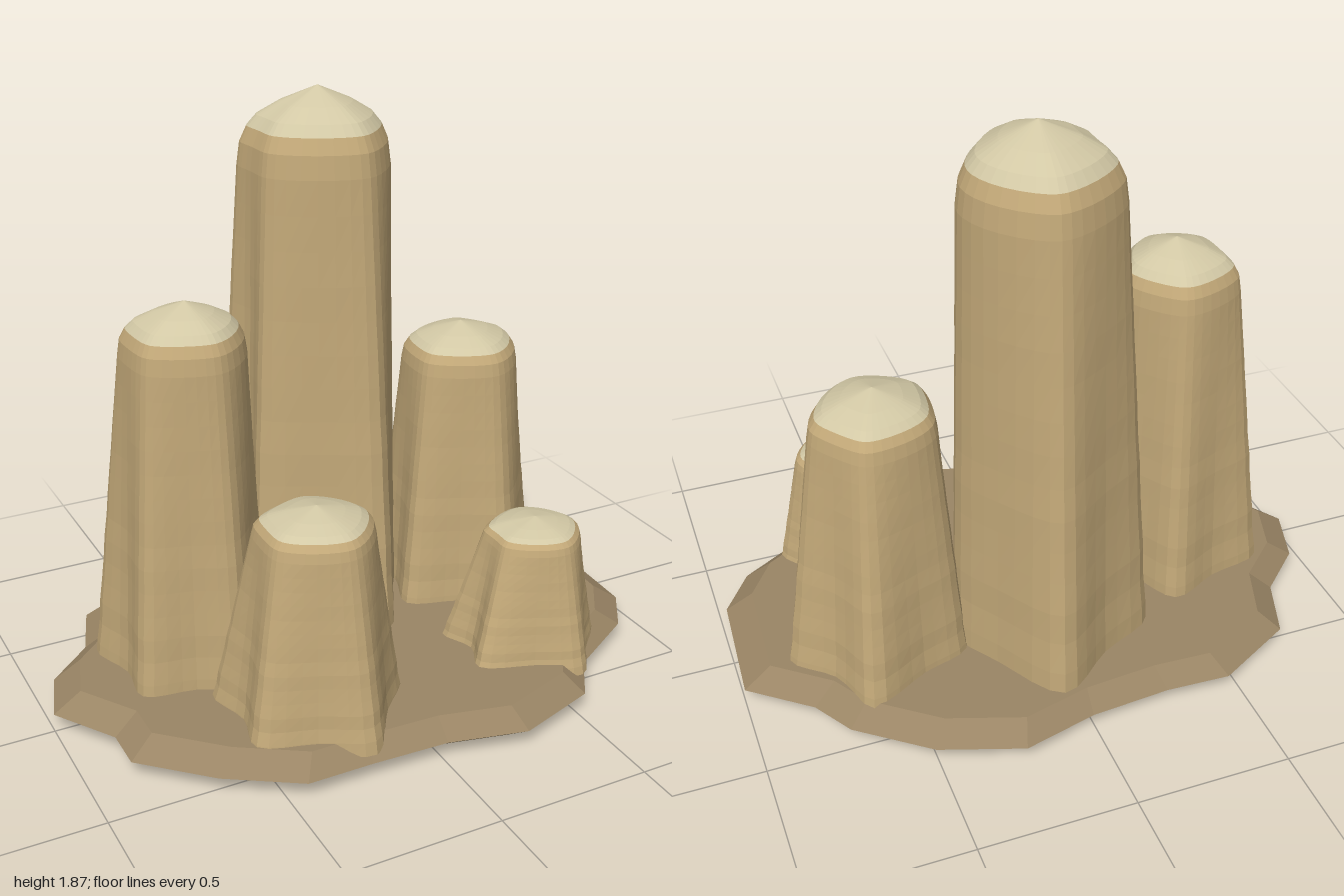
import * as THREE from 'three';

const mat = (color) => new THREE.MeshStandardMaterial({ color, flatShading: true });
const lerp = THREE.MathUtils.lerp;

// Skins a stack of closed rings, listed from the bottom up; collapsed rings close the ends
function loft(rings) {
  const n = rings[0].length, pos = [], index = [];
  rings.forEach((ring) => ring.forEach((p) => pos.push(p.x, p.y, p.z)));
  for (let i = 0; i < rings.length - 1; i++) {
    for (let j = 0; j < n; j++) {
      const k = (j + 1) % n, a = i * n + j, b = i * n + k, c = a + n, d = b + n;
      if (rings[i][j].distanceTo(rings[i][k]) > 1e-6) index.push(a, c, b);
      if (rings[i + 1][j].distanceTo(rings[i + 1][k]) > 1e-6) index.push(b, c, d);
    }
  }
  const g = new THREE.BufferGeometry();
  g.setAttribute('position', new THREE.Float32BufferAttribute(pos, 3));
  g.setIndex(index);
  g.computeVertexNormals();
  return g;
}

function part(name, geometry, material) {
  const mesh = new THREE.Mesh(geometry, material);
  mesh.name = name;
  return mesh;
}

// Uneven ground slab with a bevelled rim
const OUTLINE = [
  [-1, 0], [-0.94, -0.19], [-0.79, -0.33], [-0.72, -0.53], [-0.46, -0.67], [-0.25, -0.66],
  [0.01, -0.68], [0.25, -0.74], [0.51, -0.65], [0.73, -0.48], [0.81, -0.35], [1, -0.2],
  [0.98, 0.2], [0.88, 0.35], [0.63, 0.5], [0.53, 0.65], [0.26, 0.74], [0.01, 0.68],
  [-0.24, 0.67], [-0.45, 0.67], [-0.67, 0.53], [-0.87, 0.34], [-0.87, 0.2],
];
function makeBase() {
  const levels = [[0, 0], [0.88, 0], [1, 0.06], [0.91, 0.12], [0, 0.12]];
  return loft(levels.map(([s, y]) => OUTLINE.map(([x, z]) => new THREE.Vector3(x * s, y, z * s))));
}

// Each pillar: axis [x, z], height, radius near the top, and the five ridge ends at the foot
const PILLARS = [
  { name: 'tallPillar', at: [0.04, -0.245], h: 1.87, r: 0.245,
    tips: [[-0.3, -0.38], [0.08, -0.62], [0.32, -0.24], [0.12, 0.11], [-0.27, -0.1]] },
  { name: 'leftPillar', at: [-0.5, -0.04], h: 1.32, r: 0.195,
    tips: [[-0.79, -0.21], [-0.43, -0.33], [-0.25, -0.06], [-0.45, 0.22], [-0.75, 0.12]] },
  { name: 'rightPillar', at: [0.52, -0.15], h: 1.06, r: 0.2,
    tips: [[0.25, -0.01], [0.3, -0.32], [0.65, -0.47], [0.85, -0.18], [0.57, 0.14]] },
  { name: 'frontLeftPillar', at: [-0.28, 0.385], h: 0.79, r: 0.185,
    tips: [[-0.56, 0.2], [-0.24, 0.1], [0.01, 0.38], [-0.22, 0.66], [-0.55, 0.52]] },
  { name: 'frontRightPillar', at: [0.52, 0.34], h: 0.55, r: 0.16,
    tips: [[0.25, 0.21], [0.57, 0.1], [0.76, 0.35], [0.57, 0.58], [0.25, 0.45]] },
];
const SIDES = 40, ROWS = 14, FOOT = 0.08;

function makePillar({ name, at, h, r, tips }, bodyMat, capMat) {
  // Lobed foot section: ridges with hollows between them
  const ridges = tips.map(([x, z]) => new THREE.Vector3(x - at[0], 0, z - at[1]));
  const points = ridges.flatMap((p, i) => {
    const q = ridges[(i + 1) % ridges.length];
    const hollow = p.clone().normalize().add(q.clone().normalize()).normalize();
    return [p, hollow.multiplyScalar((p.length() + q.length()) * 0.5 * 0.77)];
  });
  const curve = new THREE.CatmullRomCurve3(points, true);
  const foot = Array.from({ length: SIDES }, (_, j) => curve.getPoint(j / SIDES));
  const mean = foot.reduce((s, p) => s + p.length(), 0) / SIDES;

  // The section grows rounder toward the top
  const ring = (t, scale, y) => foot.map((p) => {
    const topR = r * (0.7 + 0.28 * p.length() / mean);
    const radius = lerp(p.length(), topR, t) * scale;
    const v = p.clone().normalize().multiplyScalar(radius);
    return v.set(v.x + at[0], y, v.z + at[1]);
  });

  // Shaft with faint strata, then a rounded shoulder and a pale cap
  const dome = 0.13 * h, shoulder = h - dome, body = [];
  for (let i = 0; i <= ROWS; i++) {
    const t = i / ROWS;
    body.push(ring(t, 1 + 0.007 * Math.sin(i * 2.4) * (1 - t), lerp(FOOT, shoulder, t)));
  }
  const arc = (s, f) => ring(1, s, shoulder + dome * f);
  body.push(arc(0.96, 0.3), arc(0.87, 0.5));
  const cap = [arc(0.87, 0.5), arc(0.75, 0.64), arc(0.48, 0.8), arc(0, 1)];

  const group = new THREE.Group();
  group.name = name;
  group.add(part(name + 'Shaft', loft(body), bodyMat), part(name + 'Cap', loft(cap), capMat));
  return group;
}

export function createModel() {
  const model = new THREE.Group();
  model.name = 'rockPillars';
  const bodyMat = mat(0xc2a878), capMat = mat(0xd2c8a5);
  model.add(part('groundSlab', makeBase(), mat(0x9a8565)));
  PILLARS.forEach((p) => model.add(makePillar(p, bodyMat, capMat)));
  return model;
}
